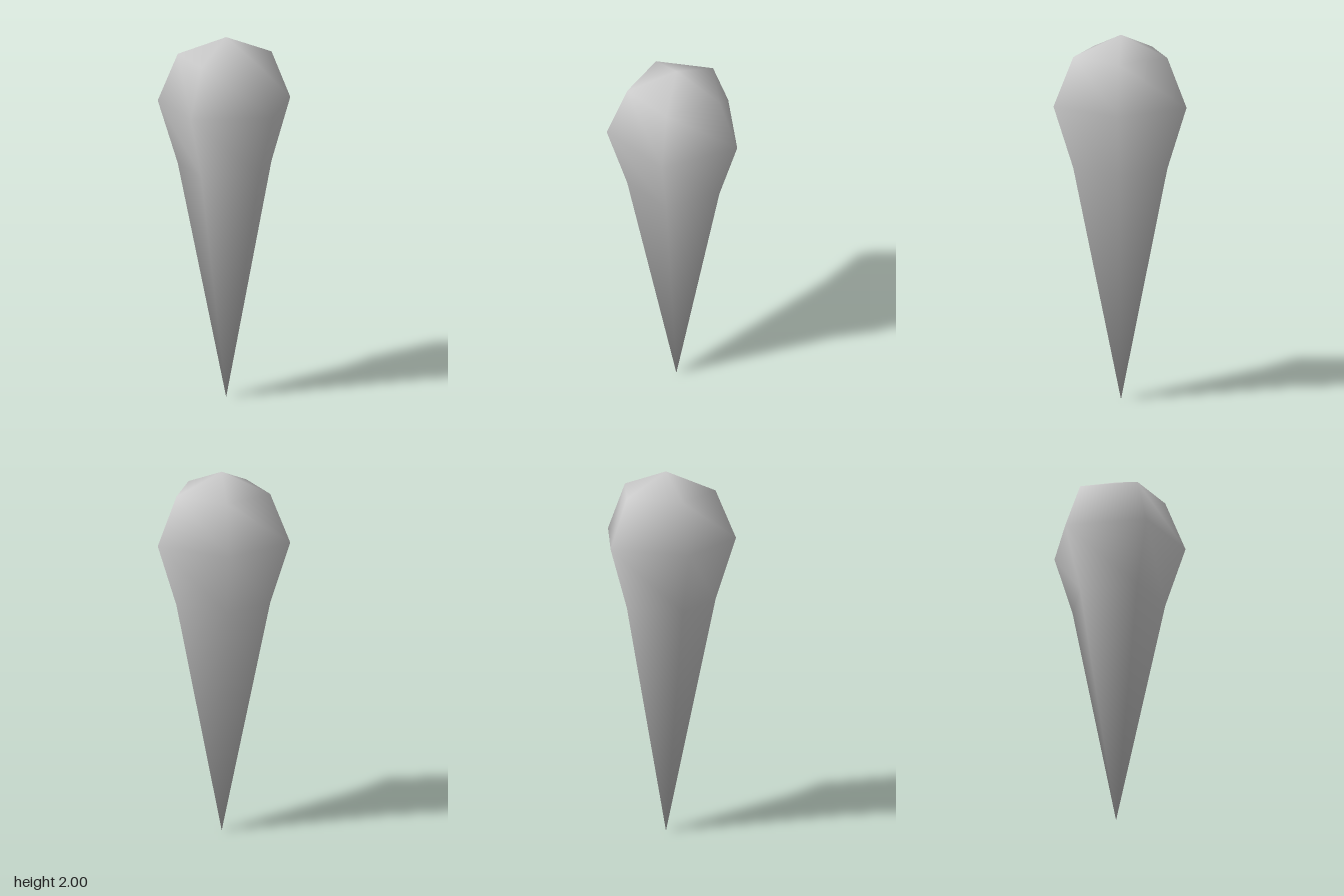
import * as THREE from 'three';
import { mergeVertices } from 'three/addons/utils/BufferGeometryUtils.js';

export function createModel() {
  const group = new THREE.Group();
  group.name = 'spike';

  const grey = new THREE.MeshStandardMaterial({ color: 0xcccccc, side: THREE.DoubleSide });
  grey.name = 'light grey';

  // Five-sided drop: rounded head on a long point, profile from tip to crown
  const profile = [
    [0, 0], [0.266, 1.285], [0.376, 1.627], [0.266, 1.892], [0, 2],
  ].map(([r, y]) => new THREE.Vector2(r, y));
  const lathe = new THREE.LatheGeometry(profile, 5, Math.PI);

  // Join the seam and both poles so the shading runs smoothly over every edge
  lathe.deleteAttribute('uv');
  lathe.deleteAttribute('normal');
  const geometry = mergeVertices(lathe, 1e-4);
  geometry.computeVertexNormals();

  const spike = new THREE.Mesh(geometry, grey);
  spike.name = 'spikeBody';
  spike.position.z = 0.036; // centres the pentagon's bounds
  group.add(spike);
  return group;
}
